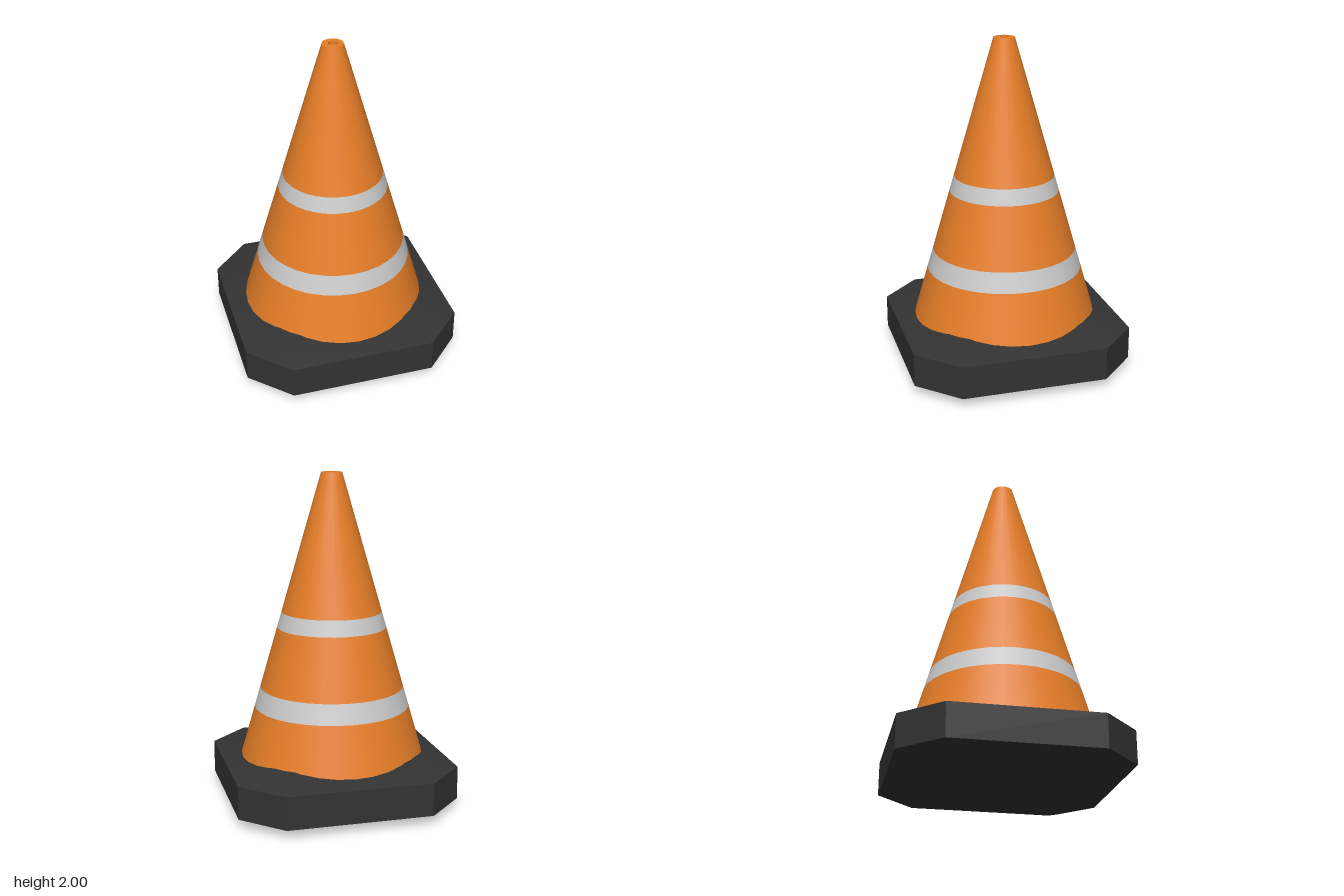
import * as THREE from 'three';
import { ConvexGeometry } from 'three/addons/geometries/ConvexGeometry.js';
import { toCreasedNormals } from 'three/addons/utils/BufferGeometryUtils.js';

const SIDES = 32;
const orange = new THREE.MeshStandardMaterial({ color: 0xe67e28 });
const grey = new THREE.MeshStandardMaterial({ color: 0xcccccc });
const black = new THREE.MeshStandardMaterial({ color: 0x333333 });

// radius of the cone wall at height y
const radiusAt = (y) => THREE.MathUtils.mapLinear(y, 0.28, 2, 0.56, 0.063);

function addMesh(group, name, geometry, material) {
  const mesh = new THREE.Mesh(geometry, material);
  mesh.name = name;
  group.add(mesh);
}

// one flush ring of the cone wall
function wall(y0, y1) {
  const geometry = new THREE.CylinderGeometry(radiusAt(y1), radiusAt(y0), y1 - y0, SIDES, 1, true);
  return geometry.translate(0, (y0 + y1) / 2, 0);
}

// box with all edges chamfered: three corner points at each of the eight corners
function chamferedSlab(half, inner, height, bevel) {
  const points = [];
  for (const sx of [-1, 1]) for (const sz of [-1, 1]) for (const top of [false, true]) {
    const y = (d) => (top ? height - d : d);
    points.push(
      new THREE.Vector3(sx * inner, y(0), sz * inner),
      new THREE.Vector3(sx * half, y(bevel), sz * inner),
      new THREE.Vector3(sx * inner, y(bevel), sz * half),
    );
  }
  return toCreasedNormals(new ConvexGeometry(points), Math.PI / 6);
}

export function createModel() {
  const model = new THREE.Group();
  model.name = 'trafficCone';

  addMesh(model, 'base', chamferedSlab(0.67, 0.437, 0.31, 0.055), black);

  // cone wall, alternating body and reflective bands
  const levels = [0.25, 0.58, 0.7, 1.07, 1.165, 2];
  for (let i = 0; i < levels.length - 1; i++) {
    const band = i % 2 === 1;
    addMesh(model, band ? 'reflectiveBand' : 'coneBody', wall(levels[i], levels[i + 1]), band ? grey : orange);
  }

  // flat rim with a shallow recess in the tip
  const rim = [[radiusAt(2), 2], [0.028, 2], [0.028, 1.98], [0, 1.98]].map(([r, y]) => new THREE.Vector2(r, y));
  const tip = new THREE.LatheGeometry(rim.reverse(), SIDES);
  const tipMaterial = orange.clone();
  tipMaterial.side = THREE.DoubleSide;
  // profile runs outward, so reverse the winding to face up
  const index = tip.index.array;
  for (let i = 0; i < index.length; i += 3) [index[i], index[i + 1]] = [index[i + 1], index[i]];
  tip.deleteAttribute('normal');
  addMesh(model, 'tip', toCreasedNormals(tip, Math.PI / 6), tipMaterial);

  return model;
}
